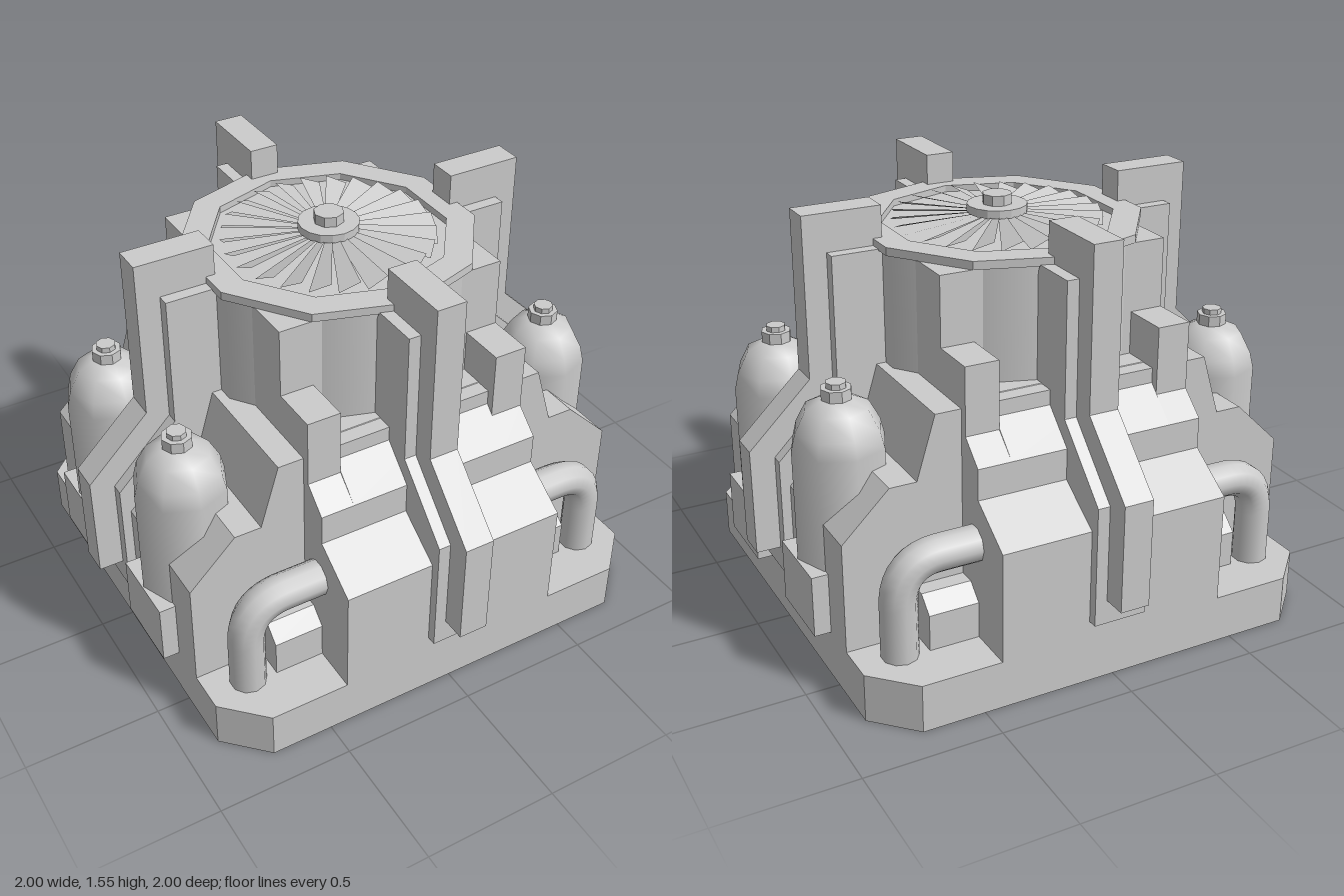
import * as THREE from 'three';

const smooth = new THREE.MeshStandardMaterial({ color: 0xcccccc });
const flat = new THREE.MeshStandardMaterial({ color: 0xcccccc, flatShading: true });
const thin = new THREE.MeshStandardMaterial({ color: 0xcccccc, flatShading: true, side: THREE.DoubleSide });

export function createModel() {
  const root = new THREE.Group();

  function add(name, geometry, material = flat, parent = root) {
    const mesh = new THREE.Mesh(geometry, material);
    mesh.name = name;
    parent.add(mesh);
    return mesh;
  }

  // Box given by its min and max corners
  function box(name, [x0, y0, z0], [x1, y1, z1], parent = root) {
    const g = new THREE.BoxGeometry(x1 - x0, y1 - y0, z1 - z0);
    g.translate((x0 + x1) / 2, (y0 + y1) / 2, (z0 + z1) / 2);
    return add(name, g, flat, parent);
  }

  // Profile in the xy plane, extruded from z = from to z = to
  function slab(points, from, to) {
    const shape = new THREE.Shape(points.map(([x, y]) => new THREE.Vector2(x, y)));
    const g = new THREE.ExtrudeGeometry(shape, { depth: to - from, bevelEnabled: false });
    return g.translate(0, 0, from);
  }

  const lathe = (points, sides) =>
    new THREE.LatheGeometry(points.map(([r, y]) => new THREE.Vector2(r, y)), sides);

  // Base plate with cut corners
  const e = 0.875, c = 0.73;
  const plate = slab([[e, -c], [e, c], [c, e], [-c, e], [-e, c], [-e, -c], [-c, -e], [c, -e]], 0, 0.18);
  add('basePlate', plate.rotateX(-Math.PI / 2));

  // Stepped main body
  const half = [[0.875, 0.17], [0.875, 0.59], [0.7, 0.76], [0.6, 0.76], [0.53, 0.99]];
  const mirrored = half.map(([x, y]) => [-x, y]).reverse();
  add('mainBody', slab([...half, ...mirrored], -0.58, 0.58));

  // Square core and ten-sided fan housing
  box('core', [-0.435, 0.5, -0.43], [0.435, 1.405, 0.43]);
  add('fanHousing', new THREE.CylinderGeometry(0.52, 0.52, 0.51, 10).translate(0, 1.155, 0), smooth);
  add('fanRing', lathe([[0.43, 1.405], [0.535, 1.405], [0.535, 1.435], [0.43, 1.435], [0.43, 1.405]], 10));

  // Fan with tilted blades that widen outwards
  const fan = new THREE.Group();
  fan.name = 'fan';
  fan.position.y = 1.437;
  root.add(fan);
  const bladeCount = 24;
  for (let i = 0; i < bladeCount; i++) {
    const g = new THREE.PlaneGeometry(1, 1).rotateX(-Math.PI / 2);
    const p = g.attributes.position;
    for (let k = 0; k < p.count; k++) {
      const outer = p.getX(k) > 0;
      const side = Math.sign(p.getZ(k));
      const width = outer ? 0.038 : 0.013;
      const rise = outer ? 0 : 0.012;
      p.setXYZ(k, outer ? 0.38 : 0.08, rise - side * width * 0.4, side * width + (outer ? 0.03 : 0));
    }
    g.computeVertexNormals();
    add('fanBlade', g, thin, fan).rotation.y = (i / bladeCount) * Math.PI * 2;
  }
  add('fanHub', new THREE.CylinderGeometry(0.11, 0.11, 0.03, 16).translate(0, 0.028, 0), flat, fan);
  add('fanHubCap', new THREE.CylinderGeometry(0.055, 0.055, 0.04, 8).translate(0, 0.06, 0), flat, fan);

  // Front and back blocks, with profiles drawn outwards from the centre
  for (const turn of [-1, 1]) {
    const end = new THREE.Group();
    end.name = turn < 0 ? 'frontBlocks' : 'backBlocks';
    end.rotation.y = turn * Math.PI / 2;
    root.add(end);
    add('lowerBlock', slab([[0.4, 0.17], [0.875, 0.17], [0.875, 0.59], [0.7, 0.705], [0.4, 0.705]],
      -0.435, 0.435), flat, end);
    add('upperBlock', slab([[0.4, 0.6], [0.7, 0.6], [0.7, 0.82], [0.52, 0.992], [0.4, 0.992]],
      -0.31, 0.31), flat, end);
    for (const [a, b] of [[0.31, 0.435], [-0.435, -0.31]]) {
      add('pillar', slab([[0.4, 0.6], [0.7, 0.6], [0.7, 0.82], [0.61, 0.9], [0.61, 1.15], [0.4, 1.15]],
        a, b), flat, end);
    }
  }

  // Four buttress fins, each a thin fin set in a wider backing
  for (let i = 0; i < 4; i++) {
    const fin = new THREE.Group();
    fin.name = 'buttress';
    fin.rotation.y = i * Math.PI / 2;
    root.add(fin);
    add('finBacking', slab([[0.45, 0.24], [0.91, 0.24], [0.91, 0.69], [0.68, 0.92], [0.68, 1.41],
      [0.5, 1.41], [0.45, 1.3]], -0.1, 0.1), flat, fin);
    add('fin', slab([[0.475, 0.33], [1, 0.33], [1, 0.73], [0.765, 0.96], [0.765, 1.55],
      [0.475, 1.55]], -0.055, 0.055), flat, fin);
  }

  // Corner fittings: tank, tank stand, bent pipe and small box
  const tankProfile = [[0, 0.4], [0.17, 0.4], [0.17, 0.82], [0.155, 0.88], [0.115, 0.955], [0.055, 0.985], [0, 0.99]];
  for (const sx of [-1, 1]) {
    for (const sz of [-1, 1]) {
      const x = sx * 0.76, z = sz * 0.295;
      add('tank', lathe(tankProfile.slice(1), 8).translate(x, 0, z), smooth);
      add('tankCollar', new THREE.CylinderGeometry(0.055, 0.055, 0.05, 8).translate(x, 1, z));
      add('tankValve', new THREE.CylinderGeometry(0.036, 0.036, 0.04, 8).translate(x, 1.025, z));
      box('tankStand', [x - 0.175, 0.18, z - 0.145], [x + 0.175, 0.41, z + 0.145]);

      const path = new THREE.CurvePath();
      const v = (px, py) => new THREE.Vector3(sx * px, py, sz * 0.675);
      path.add(new THREE.LineCurve3(v(0.4, 0.535), v(0.57, 0.535)));
      path.add(new THREE.QuadraticBezierCurve3(v(0.57, 0.535), v(0.72, 0.535), v(0.72, 0.38)));
      path.add(new THREE.LineCurve3(v(0.72, 0.38), v(0.72, 0.17)));
      add('pipe', new THREE.TubeGeometry(path, 24, 0.066, 10), smooth);

      // Small box with a sloped top under the pipe
      const g = slab([[0.5, 0.17], [0.7, 0.17], [0.7, 0.315], [0.64, 0.37], [0.5, 0.37]], -0.1, 0.1);
      g.rotateY(-sz * Math.PI / 2).translate(sx * 0.52, 0, 0);
      add('pipeBox', g);
    }
  }
  return root;
}
